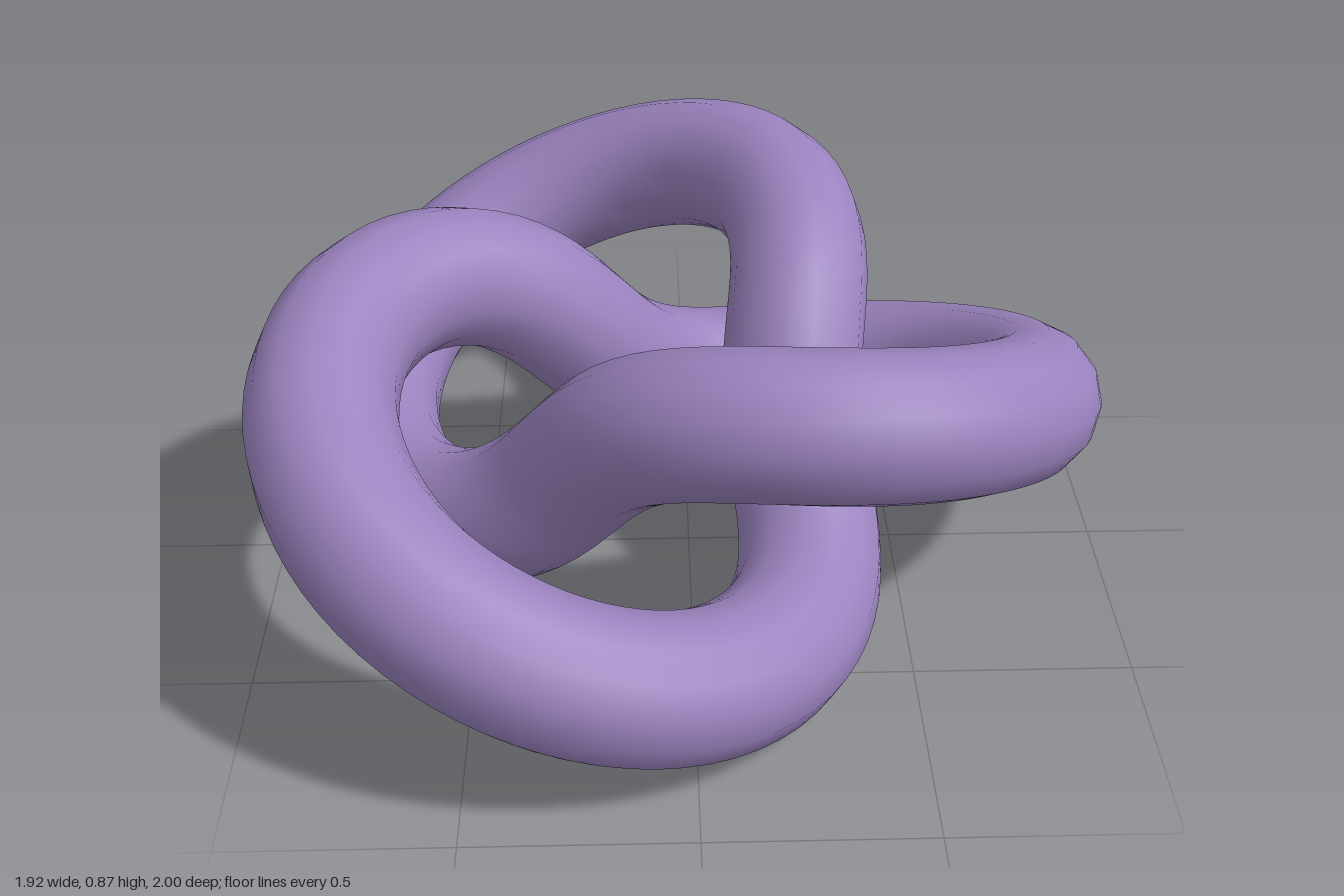
import * as THREE from 'three';

// Centre line of a three-lobed knot, winding twice around the vertical axis
class KnotCurve extends THREE.Curve {
  getPoint(t, target = new THREE.Vector3()) {
    const u = t * Math.PI * 4;
    const radius = 0.61 + 0.275 * Math.cos(1.5 * u);
    return target.set(
      radius * Math.cos(u) - 0.09,
      0.435 + 0.271 * Math.sin(1.5 * u),
      radius * Math.sin(u)
    );
  }
}

export function createModel() {
  const group = new THREE.Group();
  group.name = 'trefoilKnot';

  const purple = new THREE.MeshStandardMaterial({ color: 0x9b83bf });
  purple.name = 'soft purple';

  // One closed smooth tube
  const tube = new THREE.Mesh(
    new THREE.TubeGeometry(new KnotCurve(), 192, 0.165, 14, true),
    purple
  );
  tube.name = 'knotTube';
  group.add(tube);

  return group;
}
